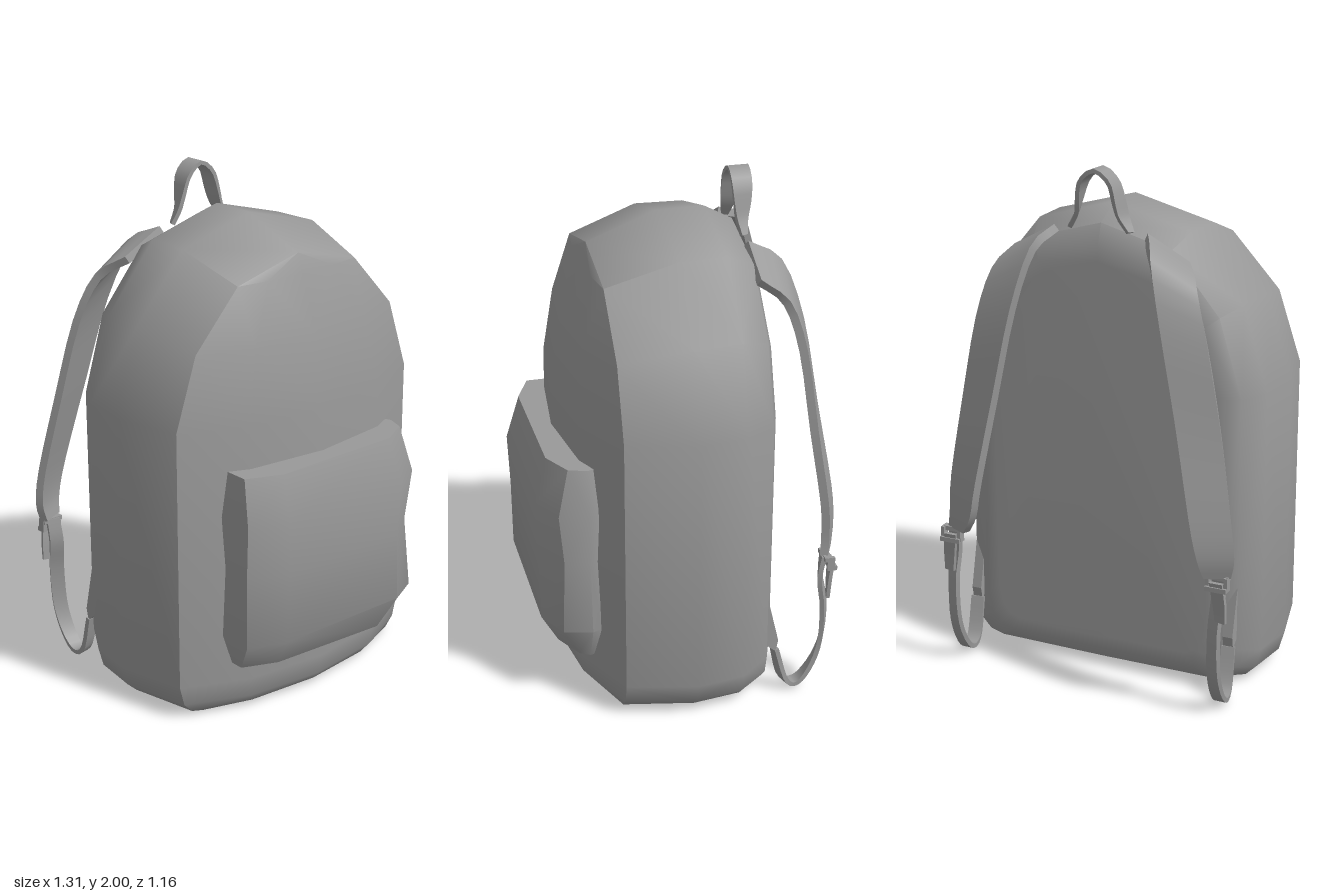
import * as THREE from 'three';

const material = new THREE.MeshStandardMaterial({ color: 0x999999 });
const V = (x, y, z) => new THREE.Vector3(x, y, z);
const CREASE = Math.cos(THREE.MathUtils.degToRad(43));
const keyOf = (p) => [p.x, p.y, p.z].map((c) => Math.round(c * 1e4)).join();

// Collects polygons; shared corners are smoothed unless the edge is sharper than CREASE
class Surface {
  constructor() { this.faces = []; }
  face(corners) {
    let pts = corners.filter((p, i) => p.distanceTo(corners[(i + 1) % corners.length]) > 1e-5);
    if (pts.length < 3) return;
    // Split a quad along its shorter diagonal
    if (pts.length === 4 && pts[1].distanceTo(pts[3]) < pts[0].distanceTo(pts[2]) - 1e-6)
      pts = [...pts.slice(1), pts[0]];
    const normal = V(0, 0, 0);
    pts.forEach((p, i) => normal.add(p.clone().cross(pts[(i + 1) % pts.length])));
    this.faces.push({ pts, normal: normal.normalize() });
  }
  // Rings run counter-clockwise seen from the far end
  loft(rings, capEnd = true) {
    const n = rings[0].length;
    for (let i = 0; i < rings.length - 1; i++)
      for (let j = 0; j < n; j++) {
        const k = (j + 1) % n;
        this.face([rings[i][j], rings[i][k], rings[i + 1][k], rings[i + 1][j]]);
      }
    this.face([...rings[0]].reverse());
    if (capEnd) this.face(rings[rings.length - 1]);
    return this;
  }
  mesh(name) {
    const around = new Map();
    for (const { pts, normal } of this.faces)
      for (const p of pts) {
        const key = keyOf(p);
        around.set(key, [...(around.get(key) || []), normal]);
      }
    const points = [], normals = [];
    for (const { pts, normal } of this.faces) {
      const smooth = pts.map((p) => around.get(keyOf(p)).filter((n) => n.dot(normal) > CREASE)
        .reduce((sum, n) => sum.add(n), V(0, 0, 0)).normalize());
      for (let i = 1; i < pts.length - 1; i++)
        for (const k of [0, i, i + 1]) {
          points.push(pts[k]);
          normals.push(...smooth[k].toArray());
        }
    }
    const g = new THREE.BufferGeometry().setFromPoints(points);
    g.setAttribute('normal', new THREE.Float32BufferAttribute(normals, 3));
    const m = new THREE.Mesh(g, material);
    m.name = name;
    return m;
  }
}

// Flat band along a path; each row is [x, y, z, half-width vector x, y, z]
function band(name, rows, thickness, steps) {
  const path = new THREE.CatmullRomCurve3(rows.map((r) => V(r[0], r[1], r[2])), false, 'catmullrom');
  const widths = new THREE.CatmullRomCurve3(rows.map((r) => V(r[3], r[4], r[5])), false, 'catmullrom');
  const rings = [];
  for (let i = 0; i <= steps; i++) {
    const t = i / steps, p = path.getPoint(t), w = widths.getPoint(t);
    const n = path.getTangent(t).cross(w).setLength(thickness / 2);
    rings.push([[1, -1], [1, 1], [-1, 1], [-1, -1]].map(([a, b]) =>
      p.clone().addScaledVector(w, a).addScaledVector(n, b)));
  }
  return new Surface().loft(rings).mesh(name);
}

// Half outline of the body, from the peak down to the middle of the base
function halfOutline(w, top, base) {
  const arch = [[0, 1], [0.5, 0.87], [0.84, 0.49], [1, 0]].map(([u, k]) => [u * w, 1.18 + (top - 1.18) * k]);
  const foot = [[1, 0.14], [0.965, 0.06], [0.9, 0.02], [0.8, 0.003], [0, 0]].map(([u, y]) => [u * w, base + y]);
  return [...arch, ...foot];
}

function body() {
  const s = new Surface();
  // [z, half width, top, base]
  const sections = [
    [-0.302, 0.45, 1.65, 0.13], [-0.3, 0.5, 1.7, 0.08], [-0.27, 0.57, 1.79, 0.03],
    [-0.16, 0.63, 1.85, 0], [0.03, 0.655, 1.85, 0], [0.3, 0.588, 1.75, 0],
  ];
  s.loft(sections.map(([z, w, top, base]) => {
    const half = halfOutline(w, top, base);
    const left = half.slice(1, -1).reverse();
    return [...half.map(([x, y]) => V(-x, y, z)), ...left.map(([x, y]) => V(x, y, z))];
  }), false);
  // Bulging front panel
  const bulge = [0, 0.025, 0.105, 0.15, 0.162, 0.152, 0.117, 0.05, 0];
  const columns = [[-1, 0], [-0.56, 0.74], [0, 1], [0.56, 0.74], [1, 0]];
  const rows = halfOutline(0.588, 1.75, 0).map(([x, y], i) =>
    columns.map(([u, k]) => V(u * x, y, 0.3 + bulge[i] * k)));
  for (let i = 0; i < rows.length - 1; i++)
    for (let j = 0; j < 4; j++)
      s.face([rows[i][j], rows[i + 1][j], rows[i + 1][j + 1], rows[i][j + 1]]);
  return s.mesh('body');
}

function pocket() {
  // [y on the left, y on the right, left x, right x, side z, front z]
  const rows = [
    [0.22, 0.19, -0.4, 0.41, 0.44, 0.5], [0.34, 0.33, -0.432, 0.465, 0.51, 0.572],
    [0.62, 0.62, -0.42, 0.44, 0.495, 0.575], [0.83, 0.83, -0.432, 0.455, 0.515, 0.582],
    [1.01, 1.01, -0.41, 0.42, 0.47, 0.53],
  ];
  return new Surface().loft(rows.map(([yl, yr, l, r, zs, zf]) => [
    V(l, yl, 0.365), V(l, yl, zs), V(l * 0.66, yl, zf),
    V(r * 0.66, yr, zf), V(r * 0.94, yr, zs), V(r, yr, 0.4), V(r * 0.97, yr, 0.365),
  ])).mesh('frontPocket');
}

function handle() {
  const half = [
    [0.125, 1.765, -0.28, 0.006, 0, 0.012], [0.095, 1.82, -0.28, 0.01, 0, 0.024],
    [0.08, 1.88, -0.285, 0.006, 0, 0.034], [0.058, 1.95, -0.288, 0, 0, 0.039],
  ];
  const left = half.map(([x, y, z, wx, ...rest]) => [-x, y, z, -wx, ...rest]);
  return band('topHandle', [...left, [0, 1.992, -0.29, 0, 0, 0.04], ...half.reverse()], 0.016, 20);
}

// Padded strap with buckle, webbing and anchor tab
function strap(side, endX, buckleX) {
  const group = new THREE.Group();
  group.name = side > 0 ? 'leftStrap' : 'rightStrap';
  const x = (f) => side * (0.27 + (endX - 0.27) * f);
  const w = -side, a = side * buckleX, b = side * 0.55, m = (f) => a + (b - a) * f;
  group.add(band('paddedStrap', [
    [x(0), 1.71, -0.27, w * 0.085, 0.045, 0],
    [x(0.22), 1.64, -0.375, w * 0.088, 0.05, -0.01],
    [x(0.45), 1.44, -0.44, w * 0.085, 0.03, -0.02],
    [x(0.7), 1.12, -0.483, w * 0.08, 0.02, -0.025],
    [x(0.92), 0.8, -0.53, w * 0.07, 0, -0.03],
    [x(1), 0.66, -0.535, w * 0.062, 0, -0.03],
    [(x(1) + a) / 2, 0.58, -0.52, w * 0.045, 0, -0.022],
  ], 0.032, 18));

  // Buckle frame
  const buckle = new THREE.Group();
  buckle.name = 'buckle';
  const bars = [
    [0, 0.575, -0.51, 0.085, 0.018], [0, 0.535, -0.53, 0.085, 0.018],
    [-0.036, 0.555, -0.52, 0.014, 0.055], [0.036, 0.555, -0.52, 0.014, 0.055],
  ];
  for (const [dx, y, z, width, height] of bars) {
    const bar = new THREE.Mesh(new THREE.BoxGeometry(width, height, 0.03), material);
    bar.position.set(a + dx, y, z);
    buckle.add(bar);
  }
  group.add(buckle);

  // Webbing that loops back to the body, and its loose end
  group.add(band('webbing', [
    [a, 0.58, -0.5, 0.027, 0, 0.004], [m(0.2), 0.48, -0.49, 0.026, 0, 0.01], [m(0.4), 0.36, -0.507, 0.025, 0, 0.014],
    [m(0.5), 0.2, -0.5, 0.026, 0, 0.012], [m(0.6), 0.09, -0.46, 0.027, 0, 0.008], [m(0.7), 0.022, -0.4, 0.026, 0, 0],
    [m(0.85), 0.05, -0.345, 0.026, 0, -0.008], [b, 0.2, -0.305, 0.026, 0, -0.004],
  ], 0.018, 24));
  group.add(band('looseEnd', [
    [a, 0.56, -0.535, 0.026, 0, 0], [a + side * 0.01, 0.48, -0.525, 0.026, 0, 0.004],
    [a + side * 0.015, 0.4, -0.52, 0.022, 0, 0.006],
  ], 0.014, 4));

  // Triangular tab sewn to the back edge
  const tab = new THREE.Shape([[-0.25, 0.24], [-0.305, 0.19], [-0.315, 0.24], [-0.268, 0.44], [-0.25, 0.42]]
    .map(([z, y]) => new THREE.Vector2(-z, y)));
  const tabMesh = new THREE.Mesh(
    new THREE.ExtrudeGeometry(tab, { depth: 0.04, bevelEnabled: false }), material);
  tabMesh.name = 'anchorTab';
  tabMesh.rotation.y = Math.PI / 2;
  tabMesh.position.x = b - 0.02;
  group.add(tabMesh);
  return group;
}

export function createModel() {
  const model = new THREE.Group();
  model.name = 'backpack';
  model.add(body(), pocket(), handle(), strap(1, 0.47, 0.53), strap(-1, 0.585, 0.59));
  return model;
}
